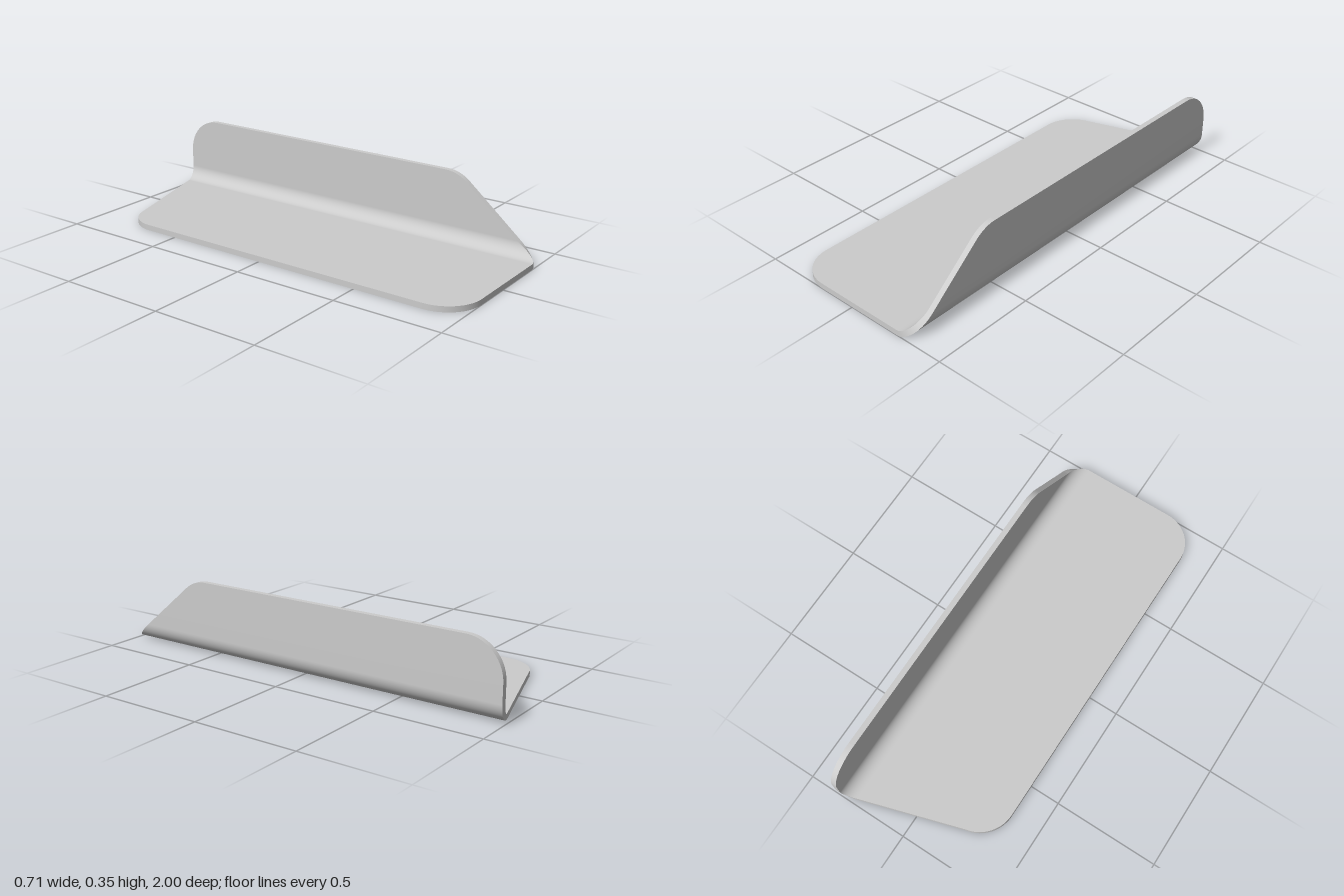
import * as THREE from 'three';
import { mergeGeometries } from 'three/addons/utils/BufferGeometryUtils.js';

const X = 0.357, H = 0.348, T = 0.026; // half width, wall height, sheet thickness
const R = 0.09, C = 0.17;              // outer bend radius, corner radius
const STEPS = 14;

// Height of a rounded corner at distance d from its edge
const arc = (d) => Math.sqrt(Math.max(0, C * C - (C - Math.min(d, C)) ** 2));

// Stations across the sheet: outer point, inward direction, front and back ends in z
function stations() {
  const list = [];
  // Flat plate, from the free edge to the bend
  for (let i = 0; i <= STEPS; i++) {
    const d = C * (1 - Math.cos((i / STEPS) * Math.PI / 2));
    const back = d < 0.12 ? -0.66 - arc(d) : -0.784 - 0.31 * d;
    list.push({ x: -X + d, y: 0, nx: 0, ny: 1, front: 1 - C + arc(d), back });
  }
  // Bend
  for (let i = 0; i <= STEPS; i++) {
    const a = (i / STEPS) * Math.PI / 2, s = Math.sin(a), c = Math.cos(a);
    const y = R * (1 - c);
    list.push({ x: X - R + R * s, y, nx: -s, ny: c, front: 1 - 1.19 * y, back: -0.977 - 0.023 * s });
  }
  // Upright wall, up to its rounded top corners
  for (let i = STEPS; i >= 0; i--) {
    const e = C * (1 - Math.cos((i / STEPS) * Math.PI / 2));
    const y = H - e;
    const front = e < 0.04 ? 0.524 + arc(e) : 1 - 1.19 * y;
    list.push({ x: X, y, nx: -1, ny: 0, front, back: -1 + C - arc(e) });
  }
  return list;
}

function surface(points, index) {
  const g = new THREE.BufferGeometry();
  g.setAttribute('position', new THREE.Float32BufferAttribute(points.flat(), 3));
  g.setIndex(index);
  g.computeVertexNormals();
  return g;
}

function bentSheet() {
  // Four corners per station: outer front, outer back, inner back, inner front
  const rings = stations().map(({ x, y, nx, ny, front, back }) => {
    const ix = x + nx * T, iy = y + ny * T;
    return [[x, y, front], [x, y, back], [ix, iy, back], [ix, iy, front]];
  });
  const parts = [];
  // Outer face, back rim, inner face, front rim
  for (let k = 0; k < 4; k++) {
    const points = [], index = [];
    rings.forEach((ring, i) => {
      points.push(ring[k], ring[(k + 1) % 4]);
      if (i) {
        const a = 2 * i - 2;
        index.push(a, a + 1, a + 3, a, a + 3, a + 2);
      }
    });
    parts.push(surface(points, index));
  }
  // Straight edges at both ends of the profile
  parts.push(surface(rings[0], [0, 3, 2, 0, 2, 1]));
  parts.push(surface(rings[rings.length - 1], [0, 1, 2, 0, 2, 3]));
  return mergeGeometries(parts);
}

export function createModel() {
  const group = new THREE.Group();
  group.name = 'bentPlate';
  const sheet = new THREE.Mesh(bentSheet(), new THREE.MeshStandardMaterial({ color: 0xcccccc }));
  sheet.name = 'foldedSheet';
  group.add(sheet);
  return group;
}
